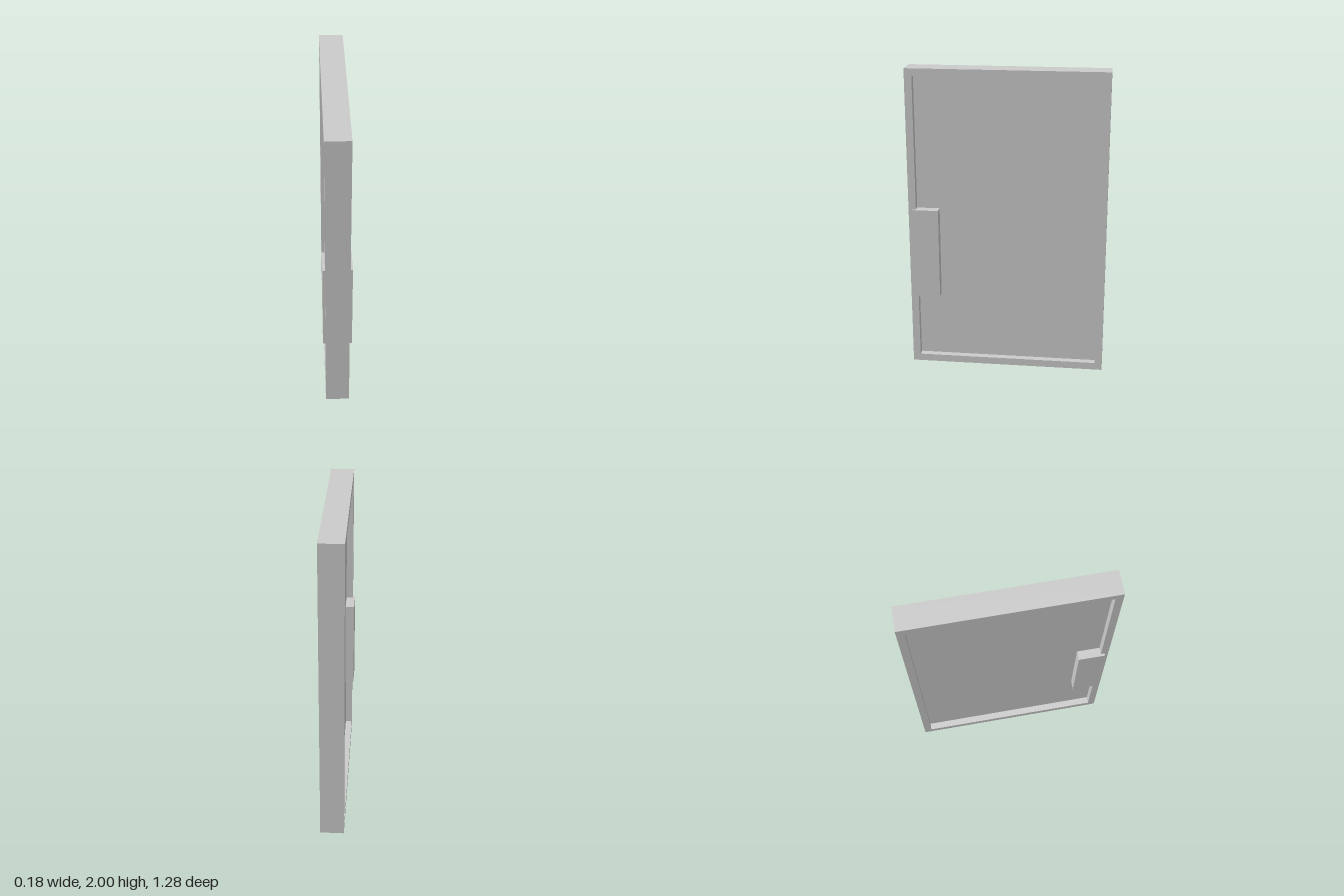
import * as THREE from 'three';

const HEIGHT = 2, HALF_DEPTH = 0.64, HALF_THICK = 0.076, RIM = 0.048, PANEL_HALF = 0.032;

// Rectangle from corner (x0, y0) to (x1, y1), added to a shape or path
function rect(path, x0, y0, x1, y1) {
  path.moveTo(x0, y0).lineTo(x1, y0).lineTo(x1, y1).lineTo(x0, y1).closePath();
  return path;
}

export function createModel() {
  const group = new THREE.Group();
  group.name = 'door';
  const material = new THREE.MeshStandardMaterial({ color: 0xcccccc });

  const add = (name, geometry, x = 0, y = 0, z = 0) => {
    const mesh = new THREE.Mesh(geometry, material);
    mesh.name = name;
    mesh.position.set(x, y, z);
    group.add(mesh);
  };

  // Raised rim around the door, extruded through its thickness
  const outline = rect(new THREE.Shape(), -HALF_DEPTH, 0, HALF_DEPTH, HEIGHT);
  outline.holes.push(rect(new THREE.Path(), -HALF_DEPTH + RIM, RIM, HALF_DEPTH - RIM, HEIGHT - RIM));
  const frame = new THREE.ExtrudeGeometry(outline, { depth: 2 * HALF_THICK, bevelEnabled: false });
  frame.translate(0, 0, -HALF_THICK).rotateY(Math.PI / 2);
  add('frame', frame);

  // Recessed panel filling the frame
  add('panel', new THREE.BoxGeometry(2 * PANEL_HALF, HEIGHT - 2 * RIM, 2 * (HALF_DEPTH - RIM)), 0, HEIGHT / 2, 0);

  // Handle block on each face, standing on the panel near the front edge
  const outer = 0.091;
  for (const [name, side] of [['leftHandle', 1], ['rightHandle', -1]]) {
    add(name, new THREE.BoxGeometry(outer - PANEL_HALF, 0.598, 0.172), side * (outer + PANEL_HALF) / 2, 0.786, 0.53);
  }

  return group;
}
